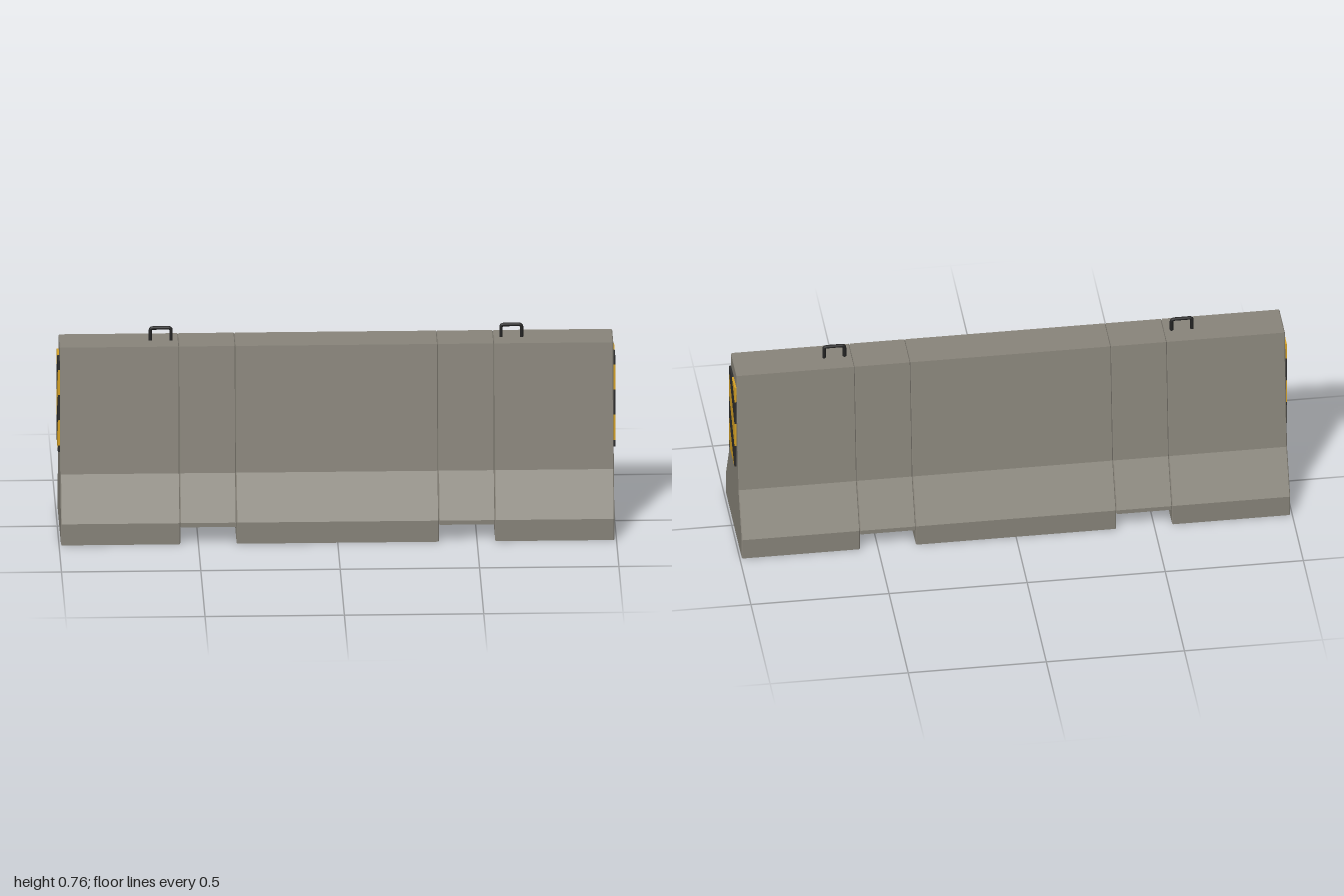
import * as THREE from 'three';

const concrete = new THREE.MeshStandardMaterial({ name: 'concrete grey', color: 0x89857b });
const yellow = new THREE.MeshStandardMaterial({ name: 'warning yellow', color: 0xd6a226 });
const black = new THREE.MeshStandardMaterial({ name: 'warning black', color: 0x2e2e2e });
const steel = new THREE.MeshStandardMaterial({ name: 'dark steel', color: 0x242424 });

const BODY_END = 0.993;

function addMesh(parent, name, geometry, material) {
  const mesh = new THREE.Mesh(geometry, material);
  mesh.name = name;
  parent.add(mesh);
  return mesh;
}

// One length of the barrier: the sloped cross-section swept from x0 to x1
function segmentGeometry(x0, x1, bottom) {
  const half = [[0.211, bottom], [0.211, 0.08], [0.126, 0.24], [0.073, 0.703]];
  const outline = [...half, ...half.map(([z, y]) => [-z, y]).reverse()];
  const shape = new THREE.Shape(outline.map(([z, y]) => new THREE.Vector2(z, y)));
  const bevel = 0.003;
  const geometry = new THREE.ExtrudeGeometry(shape, {
    depth: x1 - x0 - 2 * bevel,
    bevelThickness: bevel, bevelSize: bevel, bevelOffset: -bevel, bevelSegments: 1,
  });
  return geometry.rotateY(Math.PI / 2).translate(x0 + bevel, 0, 0);
}

// Keep the part of a polygon where distance(p) >= 0
function clip(points, distance) {
  const kept = [];
  points.forEach((p, i) => {
    const q = points[(i + 1) % points.length];
    const dp = distance(p), dq = distance(q);
    if (dp >= 0) kept.push(p);
    if (dp * dq < 0) kept.push(p.clone().lerp(q, dp / (dp - dq)));
  });
  return kept;
}

// Diagonal stripes on one end; side is +1 or -1 along x
function hazardPanel(side) {
  const panel = new THREE.Group();
  panel.name = side > 0 ? 'leftHazardPanel' : 'rightHazardPanel';
  const w = 0.07, low = 0.305, high = 0.65, slope = 0.9, pitch = 0.0955, first = 0.713;
  const rectangle = [[-w, low], [w, low], [w, high], [-w, high]].map(([z, y]) => new THREE.Vector2(z, y));
  const level = (p) => p.y - slope * (p.x - w);
  for (let i = 0; i < 6; i++) {
    const top = first - (i - 1) * pitch;
    let points = clip(rectangle, (p) => top - level(p));
    points = clip(points, (p) => level(p) - top + pitch);
    if (points.length < 3) continue;
    const shape = new THREE.Shape(points.map((p) => new THREE.Vector2(-side * p.x, p.y)));
    const geometry = new THREE.ExtrudeGeometry(shape, { depth: 1 - BODY_END, bevelEnabled: false });
    geometry.rotateY(side * Math.PI / 2).translate(side * BODY_END, 0, 0);
    addMesh(panel, 'stripe', geometry, i % 2 ? black : yellow);
  }
  return panel;
}

// Bent steel bar used for lifting
function liftingLoopGeometry() {
  const w = 0.037, top = 0.749, r = 0.01;
  const path = new THREE.CurvePath();
  const v = (x, y) => new THREE.Vector3(x, y, 0);
  path.add(new THREE.LineCurve3(v(-w, 0.69), v(-w, top - r)));
  path.add(new THREE.QuadraticBezierCurve3(v(-w, top - r), v(-w, top), v(-w + r, top)));
  path.add(new THREE.LineCurve3(v(-w + r, top), v(w - r, top)));
  path.add(new THREE.QuadraticBezierCurve3(v(w - r, top), v(w, top), v(w, top - r)));
  path.add(new THREE.LineCurve3(v(w, top - r), v(w, 0.69)));
  return new THREE.TubeGeometry(path, 60, 0.0065, 10, false);
}

export function createModel() {
  const model = new THREE.Group();
  model.name = 'roadBarrier';

  // Central block, with raised drainage gaps and end blocks on both sides
  addMesh(model, 'centreBlock', segmentGeometry(-0.363, 0.363, 0), concrete);
  for (const side of [-1, 1]) {
    const span = (a, b, bottom) => segmentGeometry(Math.min(side * a, side * b), Math.max(side * a, side * b), bottom);
    addMesh(model, 'drainageSection', span(0.363, 0.565, 0.064), concrete);
    addMesh(model, 'endBlock', span(0.565, BODY_END, 0), concrete);
    model.add(hazardPanel(side));
    addMesh(model, 'liftingLoop', liftingLoopGeometry(), steel).position.x = side * 0.629;
  }
  return model;
}
